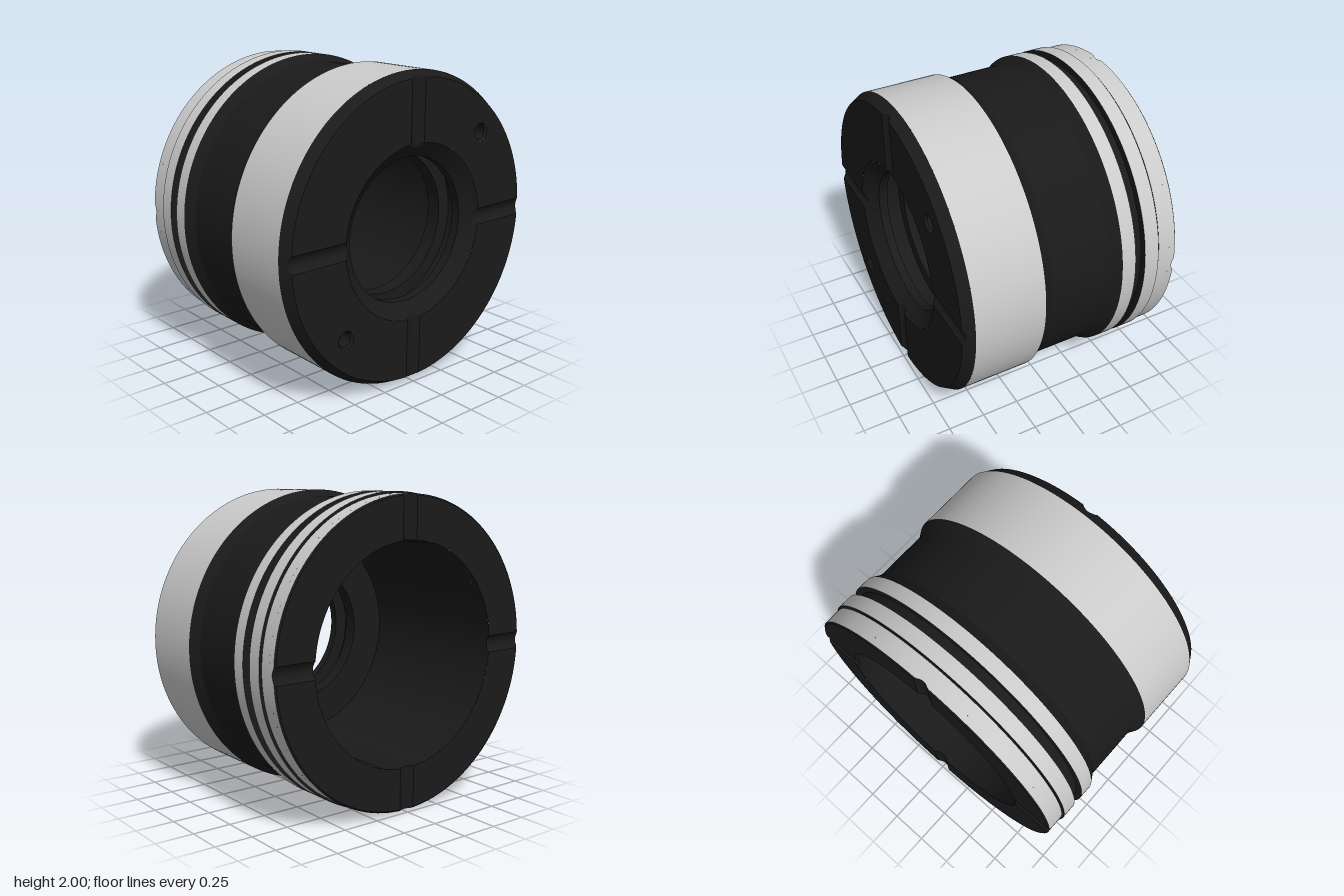
import * as THREE from 'three';
import { mergeGeometries } from 'three/addons/utils/BufferGeometryUtils.js';

const grey = new THREE.MeshStandardMaterial({ color: 0xcccccc });
const black = new THREE.MeshStandardMaterial({ color: 0x1a1a1a });
const GROOVE = 8, PLAIN = 32, W = 0.055, DEPTH = 0.024;

function add(parent, name, geometry, material) {
  const mesh = new THREE.Mesh(geometry, material);
  mesh.name = name;
  parent.add(mesh);
  return mesh;
}

// Turned surface around x from [x, radius] points, with a crisp edge at each point
function turned(points) {
  const parts = [];
  for (let i = 0; i < points.length - 1; i++) {
    const pair = [points[i], points[i + 1]].map(([x, r]) => new THREE.Vector2(r, x));
    parts.push(new THREE.LatheGeometry(pair, 160));
  }
  return mergeGeometries(parts).rotateZ(-Math.PI / 2);
}

// Angles around a ring of radius r: fine steps over the four grooves, even steps between
function ringAngles(r) {
  const list = [], a = Math.asin(W / r);
  for (let k = 0; k < 4; k++) {
    const base = k * Math.PI / 2;
    for (let j = 0; j < GROOVE; j++) list.push([base + Math.asin(W * (2 * j / GROOVE - 1) / r), 2 * j / GROOVE - 1]);
    for (let j = 0; j < PLAIN; j++) list.push([base + a + (Math.PI / 2 - 2 * a) * j / PLAIN, 1]);
  }
  return list;
}

// Rings of [radius, height] from the bore outward, cut down where a groove crosses
function cutRings(rows, top, groovesOnly = false) {
  const pos = [], index = [], n = 4 * (GROOVE + PLAIN);
  for (const [r, s] of rows) {
    for (const [angle, t] of ringAngles(r)) {
      pos.push(r * Math.cos(angle), r * Math.sin(angle), Math.min(s, top - DEPTH * (1 - t * t)));
    }
  }
  for (let i = 0; i < rows.length - 1; i++) {
    for (let j = 0; j < n; j++) {
      if (groovesOnly && j % (GROOVE + PLAIN) >= GROOVE) continue;
      const a = i * n + j, b = i * n + (j + 1) % n;
      index.push(a, a + n, b + n, a, b + n, b);
    }
  }
  const geometry = new THREE.BufferGeometry();
  geometry.setAttribute('position', new THREE.Float32BufferAttribute(pos, 3));
  geometry.setIndex(index);
  geometry.computeVertexNormals();
  return geometry;
}

// Subdivided straight line between two [radius, height] points
function line([r0, s0], [r1, s1], steps = 8) {
  return Array.from({ length: steps + 1 }, (_, i) => [r0 + (r1 - r0) * i / steps, s0 + (s1 - s0) * i / steps]);
}

// Flat quarter of an end face between two grooves, with an optional bolt hole
function facePanel(rIn, rOut, top, hole) {
  const a = Math.asin(W / rIn), b = Math.asin(W / rOut);
  const shape = new THREE.Shape();
  shape.absarc(0, 0, rOut, b, Math.PI / 2 - b, false);
  shape.absarc(0, 0, rIn, Math.PI / 2 - a, a, true);
  shape.closePath();
  if (hole) shape.holes.push(new THREE.Path().absarc(0.56, 0.56, 0.06, 0, Math.PI * 2, true));
  return new THREE.ShapeGeometry(shape, PLAIN).translate(0, 0, top);
}

// End face built facing +z: lip, grooves, panels and outer edge
function endFace(name, { rIn, rOut, top, lip, edge, holes }) {
  const end = new THREE.Group();
  end.name = name;
  add(end, 'boreLip', cutRings(line(lip, [rIn, top]), top), black);
  add(end, 'radialGrooves', cutRings(line([rIn, top], [rOut, top]), top, true), black);
  add(end, 'outerChamfer', cutRings(line([rOut, top], edge), top), black);
  for (let k = 0; k < 4; k++) {
    const hole = holes && k % 2 === 0;
    const panel = add(end, 'facePanel', facePanel(rIn, rOut, top, hole), black);
    panel.rotation.z = k * Math.PI / 2;
    if (!hole) continue;
    // Blind bolt hole with a small countersink
    const profile = [[0, -0.1], [0.047, -0.1], [0.047, -0.015], [0.06, 0]];
    const parts = [];
    for (let i = 0; i < 3; i++) {
      const pair = [profile[i + 1], profile[i]].map(([r, h]) => new THREE.Vector2(r, h));
      parts.push(new THREE.LatheGeometry(pair, 32));
    }
    const well = add(panel, 'boltHole', mergeGeometries(parts).rotateX(Math.PI / 2), black);
    well.position.set(0.56, 0.56, top);
  }
  return end;
}

export function createModel() {
  const model = new THREE.Group();
  model.name = 'piston';

  // Ground outer bands
  add(model, 'wideBand', turned([[0.205, 1], [0.67, 1]]), grey);
  add(model, 'innerRingLand', turned([[-0.43, 1], [-0.335, 1]]), grey);
  add(model, 'outerRingLand', turned([[-0.6, 1], [-0.5, 1]]), grey);
  add(model, 'endBand', turned([[-0.69, 0.988], [-0.61, 0.988]]), grey);

  // Dark recesses between the bands
  add(model, 'waist', turned([[-0.335, 1], [-0.265, 0.958], [0.135, 0.958], [0.205, 1]]), black);
  add(model, 'ringGroove', turned([[-0.5, 1], [-0.5, 0.955], [-0.43, 0.955], [-0.43, 1]]), black);
  add(model, 'seamGroove', turned([[-0.61, 0.988], [-0.61, 0.97], [-0.6, 0.97], [-0.6, 1]]), black);

  // Stepped bore: narrow collar with a seal groove, then a wide counterbore
  add(model, 'bore', turned([
    [0.66, 0.468], [0.6, 0.468], [0.6, 0.56], [0.48, 0.56], [0.48, 0.468],
    [0.38, 0.468], [0.38, 0.71], [-0.69, 0.71],
  ]), black);

  // Grooved end faces
  const right = endFace('boltedEnd', {
    rIn: 0.565, rOut: 0.96, top: 0.74, lip: [0.468, 0.66], edge: [1, 0.67], holes: true,
  });
  right.rotation.y = Math.PI / 2;
  const left = endFace('openEnd', {
    rIn: 0.71, rOut: 0.978, top: 0.74, lip: [0.71, 0.69], edge: [0.988, 0.732], holes: false,
  });
  add(left, 'endBandRim', cutRings(line([0.988, 0.732], [0.988, 0.69]), 0.74), grey);
  left.rotation.y = -Math.PI / 2;
  model.add(left, right);

  model.position.y = 1;
  const root = new THREE.Group();
  root.add(model);
  return root;
}
